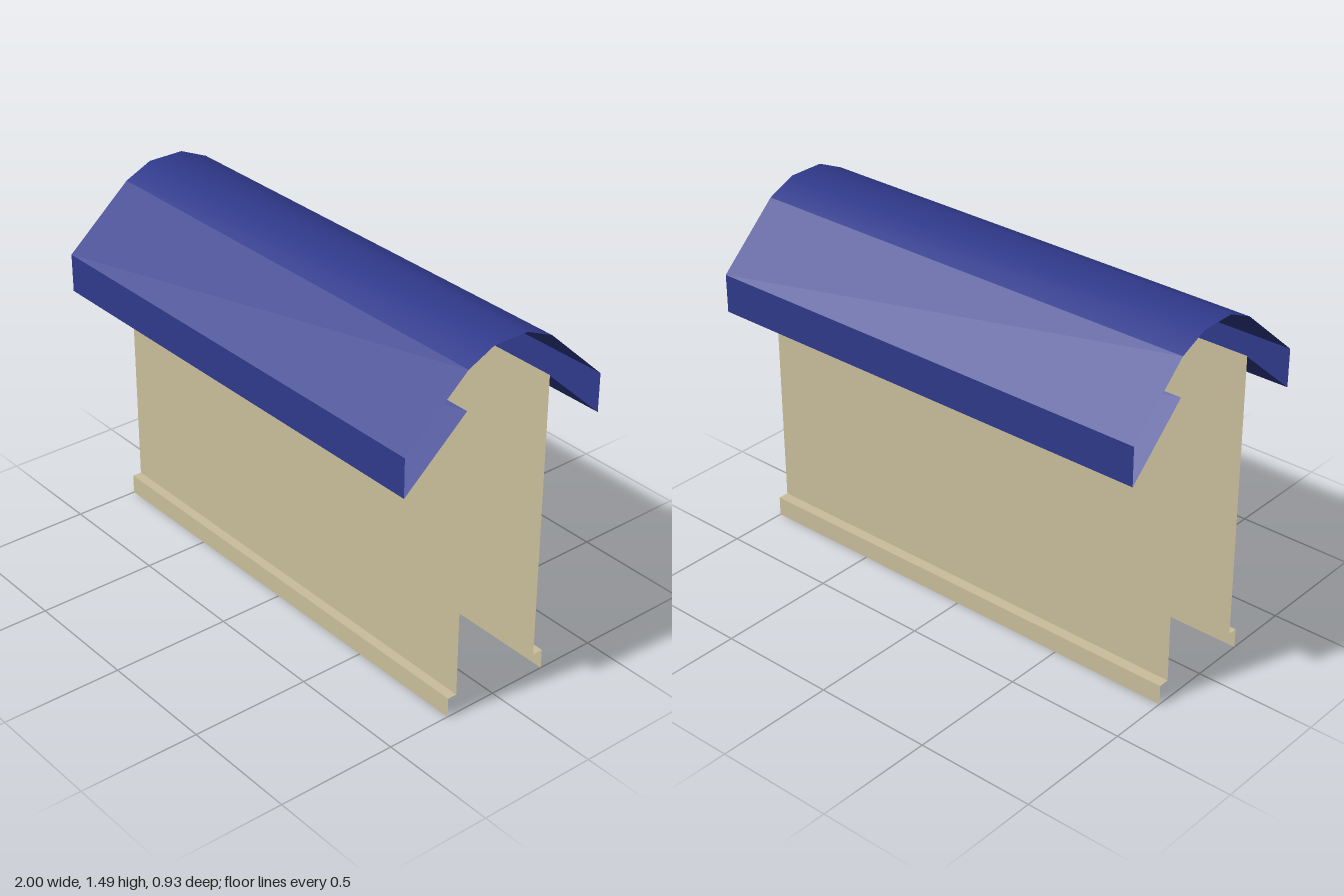
import * as THREE from 'three';

const roofBlue = new THREE.MeshStandardMaterial({ name: 'roofBlue', color: 0x303a8c, side: THREE.DoubleSide });
const wallBeige = new THREE.MeshStandardMaterial({ name: 'wallBeige', color: 0xcabf9c, side: THREE.DoubleSide });

// Thin sheet: a [z, y] profile, listed from back to front, swept along x
function sheet(name, profile, material) {
  const positions = [];
  const index = [];
  profile.forEach(([z, y], i) => {
    positions.push(-1, y, z, 1, y, z);
    if (i > 0) {
      const a = 2 * (i - 1);
      index.push(a, a + 2, a + 1, a + 1, a + 2, a + 3);
    }
  });
  const geometry = new THREE.BufferGeometry();
  geometry.setAttribute('position', new THREE.Float32BufferAttribute(positions, 3));
  geometry.setIndex(index);
  geometry.computeVertexNormals();
  const mesh = new THREE.Mesh(geometry, material);
  mesh.name = name;
  return mesh;
}

export function createModel() {
  const model = new THREE.Group();
  model.name = 'coveredWall';

  // Rounded ridge, smooth across its facets
  model.add(sheet('roofRidge', [[-0.205, 1.44], [-0.085, 1.493], [0.07, 1.493], [0.185, 1.44]], roofBlue));

  const sides = [
    { label: 'front', wall: 0.185, skirt: 0.225, eave: 0.4625 },
    { label: 'back', wall: -0.205, skirt: -0.25, eave: -0.4625 },
  ];
  for (const { label, wall, skirt, eave } of sides) {
    const group = new THREE.Group();
    group.name = label + 'Side';
    // Points run from the top down; the back side is reversed to face outwards
    const add = (name, points, material) =>
      group.add(sheet(name, eave > 0 ? points : points.reverse(), material));

    // Roof slope, vertical fascia and the soffit parallel to the slope
    add('roofSlope', [[wall, 1.44], [eave, 1.2]], roofBlue);
    add('fascia', [[eave, 1.2], [eave, 1.04]], roofBlue);
    add('soffit', [[wall, 1.28], [eave, 1.04]], roofBlue);

    // Wall panel with a stepped skirt at its foot
    add('wallPanel', [[wall, 1.283], [wall, 0.083]], wallBeige);
    add('skirtLedge', [[wall, 0.083], [skirt, 0.083]], wallBeige);
    add('skirt', [[skirt, 0.083], [skirt, 0]], wallBeige);
    model.add(group);
  }
  return model;
}
